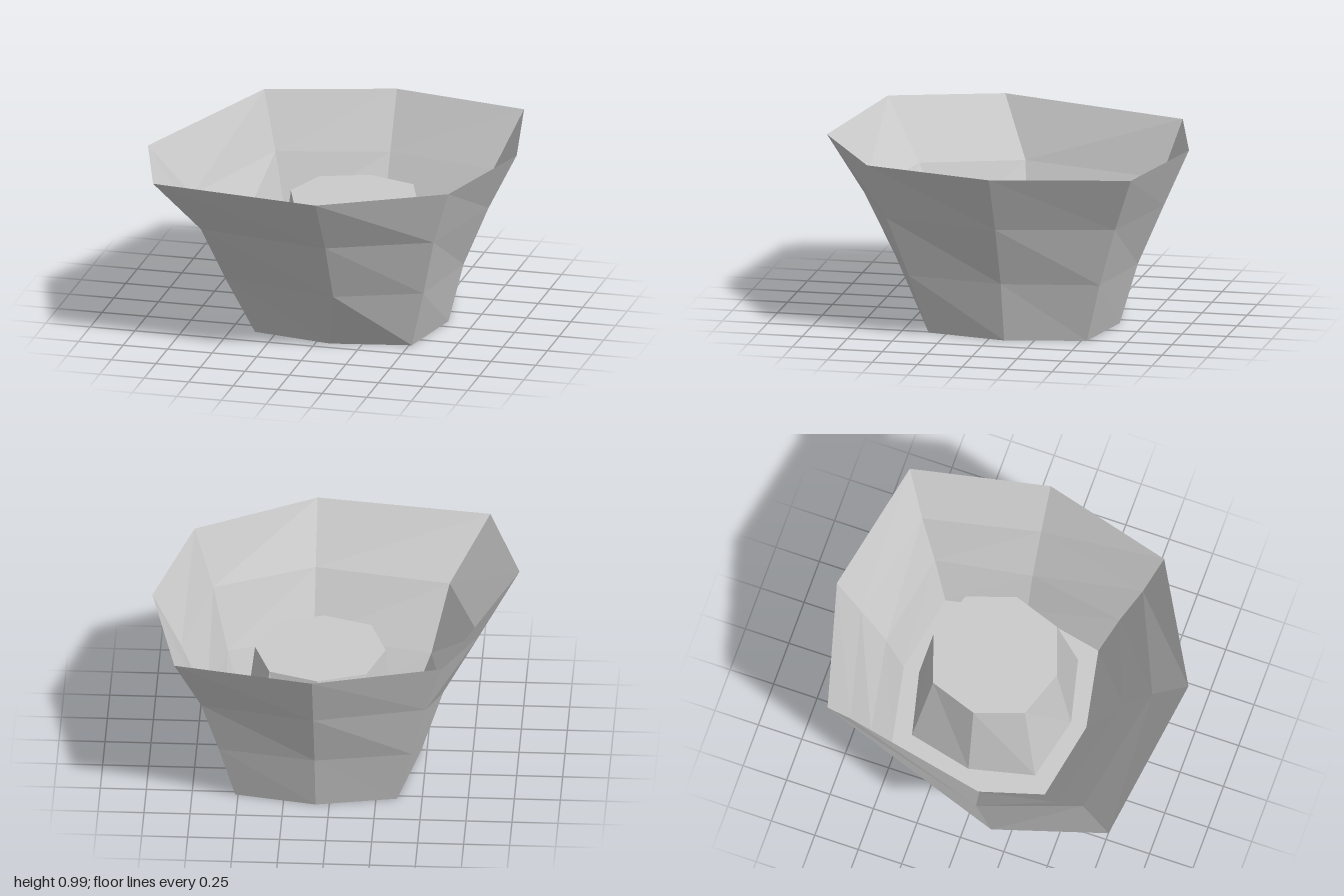
import * as THREE from 'three';

const material = new THREE.MeshStandardMaterial({
  color: 0xcccccc, flatShading: true, side: THREE.DoubleSide,
});
const LEVELS = [0, 0.335, 0.67, 0.985];
const CX = 0.075, CZ = -0.09; // axis of the base and the hub

// Eight ribs of the bowl, counterclockwise from the front: [x, z] at each level, bottom to top
const RIBS = [
  [[0.075, 0.435], [0.145, 0.62], [0.145, 0.79], [0.145, 0.998]],
  [[0.515, 0.35], [0.605, 0.44], [0.69, 0.545], [0.795, 0.63]],
  [[0.605, -0.09], [0.69, -0.09], [0.83, -0.09], [0.988, -0.09]],
  [[0.515, -0.53], [0.6, -0.62], [0.69, -0.725], [0.83, -0.845]],
  [[0.075, -0.615], [0.075, -0.715], [0.075, -0.86], [0.075, -1]],
  [[-0.365, -0.53], [-0.45, -0.62], [-0.53, -0.71], [-0.62, -0.81]],
  [[-0.47, 0], [-0.585, 0.05], [-0.78, 0.1], [-0.99, 0.26]],
  [[-0.365, 0.35], [-0.5, 0.47], [-0.59, 0.65], [-0.8, 0.87]],
];

// Octagon ring with separate radii for the axis corners and the diagonal corners
function octagon(axisRadius, diagonalRadius, y) {
  return Array.from({ length: 8 }, (_, i) => {
    const r = i % 2 ? diagonalRadius : axisRadius;
    const a = (i * Math.PI) / 4;
    return [CX + r * Math.sin(a), y, CZ + r * Math.cos(a)];
  });
}

// Faceted skin between successive closed rings
function loft(name, rings) {
  const positions = [];
  for (let k = 0; k < rings.length - 1; k++) {
    const low = rings[k], high = rings[k + 1], n = low.length;
    for (let i = 0; i < n; i++) {
      const j = (i + 1) % n;
      positions.push(...low[i], ...low[j], ...high[i]);
      positions.push(...low[j], ...high[j], ...high[i]);
    }
  }
  const geometry = new THREE.BufferGeometry();
  geometry.setAttribute('position', new THREE.Float32BufferAttribute(positions, 3));
  geometry.computeVertexNormals();
  const mesh = new THREE.Mesh(geometry, material);
  mesh.name = name;
  return mesh;
}

export function createModel() {
  const model = new THREE.Group();
  model.name = 'facetedBowl';

  // Flaring, uneven outer wall
  const wallRings = LEVELS.map((y, k) => RIBS.map((rib) => [rib[k][0], y, rib[k][1]]));
  model.add(loft('bowlWall', wallRings));

  // Tapered hollow hub rising from the floor
  const hubHeight = 0.675;
  const hubBase = octagon(0.437, 0.5, 0);
  const hubTop = octagon(0.355, 0.373, hubHeight);
  model.add(loft('hubWall', [hubBase, hubTop]));

  // Flat floor between wall and hub, open under the hub
  model.add(loft('floorRing', [wallRings[0], hubBase]));

  // Lid of the hub
  const outline = new THREE.Shape(hubTop.map(([x, , z]) => new THREE.Vector2(x, -z)));
  const cap = new THREE.Mesh(new THREE.ShapeGeometry(outline).rotateX(-Math.PI / 2), material);
  cap.position.y = hubHeight;
  cap.name = 'hubCap';
  model.add(cap);

  return model;
}
